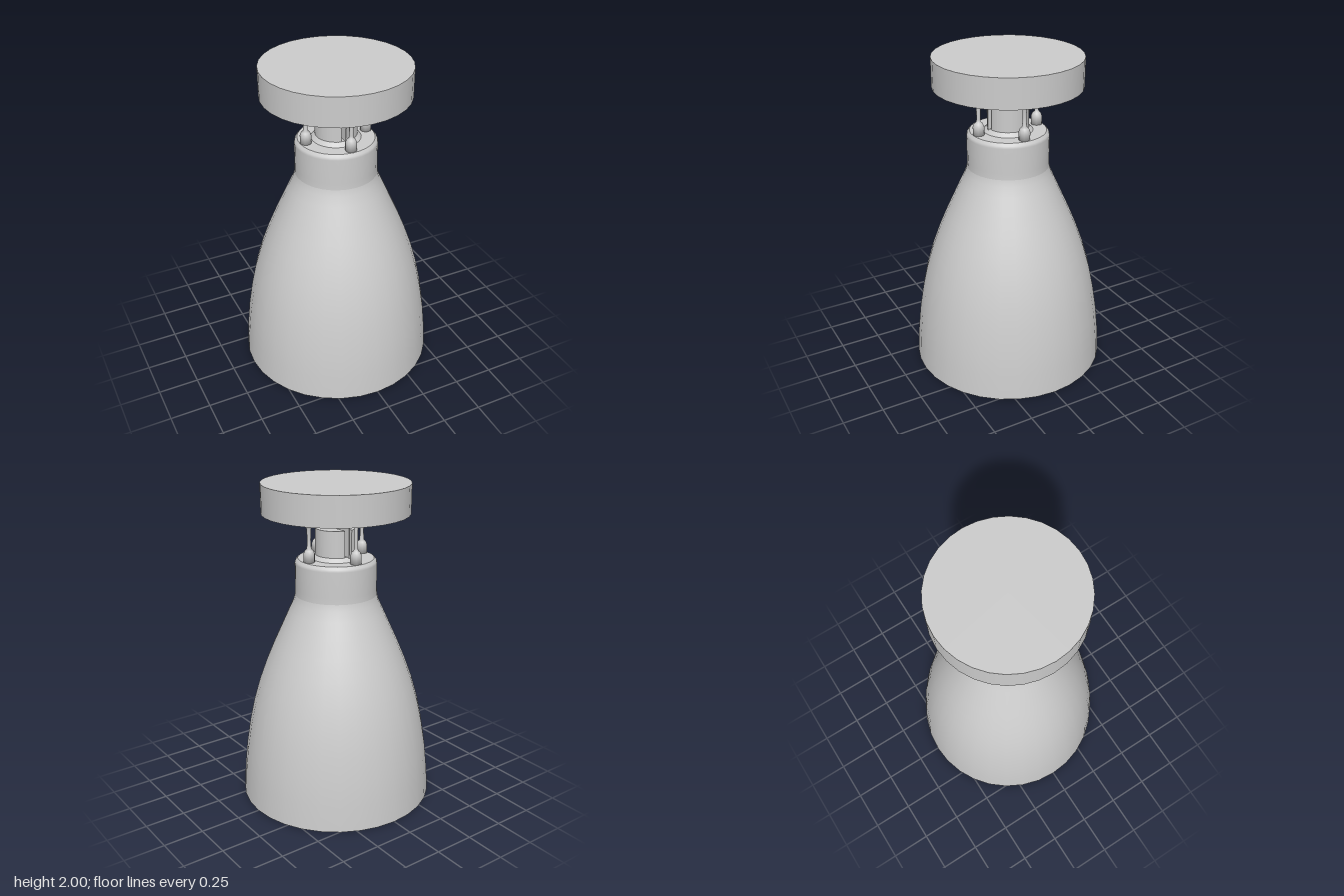
import * as THREE from 'three';

const metal = new THREE.MeshStandardMaterial({ color: 0xcccccc, side: THREE.DoubleSide });
metal.name = 'light grey metal';

function add(parent, name, geometry, x = 0, y = 0, z = 0) {
  const mesh = new THREE.Mesh(geometry, metal);
  mesh.name = name;
  mesh.position.set(x, y, z);
  parent.add(mesh);
  return mesh;
}

function lathe(points, segments) {
  return new THREE.LatheGeometry(points.map(([r, y]) => new THREE.Vector2(r, y)), segments);
}

export function createModel() {
  const lamp = new THREE.Group();
  lamp.name = 'ceilingLamp';

  // Ceiling canopy
  add(lamp, 'canopy', new THREE.CylinderGeometry(0.447, 0.447, 0.18, 32), 0, 1.91, 0);

  // Open bell shade with a straight neck
  add(lamp, 'shade', lathe([
    [0.605, 0], [0.595, 0.16], [0.578, 0.32], [0.552, 0.48], [0.522, 0.62], [0.482, 0.76],
    [0.435, 0.89], [0.385, 1.01], [0.335, 1.12], [0.29, 1.22], [0.262, 1.28], [0.252, 1.32],
  ], 32));
  add(lamp, 'neck', lathe([[0.252, 1.32], [0.25, 1.36], [0.25, 1.515], [0.246, 1.53], [0.232, 1.545]], 32));
  const neckTop = add(lamp, 'neckTop', new THREE.CircleGeometry(0.232, 32), 0, 1.545, 0);
  neckTop.rotation.x = -Math.PI / 2;

  // Slotted socket: a flange and two half round blocks
  add(lamp, 'socketFlange', new THREE.CylinderGeometry(0.125, 0.15, 0.025, 32), 0, 1.5575, 0);
  const cut = Math.acos(0.024 / 0.126);
  for (const side of [0, Math.PI]) {
    const half = new THREE.Shape();
    half.absarc(0, 0, 0.126, -cut, cut, false);
    half.closePath();
    const geometry = new THREE.ExtrudeGeometry(half, { depth: 0.165, bevelEnabled: false, curveSegments: 16 });
    geometry.rotateX(-Math.PI / 2);
    add(lamp, 'socketHalf', geometry, 0, 1.565, 0).rotation.y = side;
  }

  // Thin mounting plate running through the slot up to the canopy
  add(lamp, 'mountingPlate', new THREE.BoxGeometry(0.008, 0.26, 0.27), 0, 1.695, 0);
  const bolt = add(lamp, 'plateBolt', new THREE.CylinderGeometry(0.022, 0.022, 0.05, 12), 0, 1.68, 0);
  bolt.rotation.z = Math.PI / 2;

  // Four support rods standing on the neck
  const foot = [[0, 1.545], [0.034, 1.545], [0.034, 1.595], [0.026, 1.615], [0.014, 1.625]];
  const sidePost = [...foot, [0.011, 1.68], [0.014, 1.745], [0.024, 1.76], [0.034, 1.78], [0.034, 1.82]];
  const hookPost = [...foot, [0.012, 1.64], [0.012, 1.815], [0, 1.815]];
  for (let i = 0; i < 4; i++) {
    const post = new THREE.Group();
    post.name = 'supportRod';
    post.rotation.y = i * Math.PI / 2;
    lamp.add(post);
    const hooked = i % 2 === 0;
    add(post, 'rod', lathe(hooked ? hookPost : sidePost, 12), 0, 0, 0.197);
    if (hooked) {
      // Flat hook turned outward under the canopy
      add(post, 'hookArm', new THREE.BoxGeometry(0.02, 0.016, 0.06), 0, 1.81, 0.225);
      add(post, 'hookEnd', new THREE.CylinderGeometry(0.024, 0.02, 0.03, 12), 0, 1.806, 0.25);
    }
  }
  return lamp;
}
